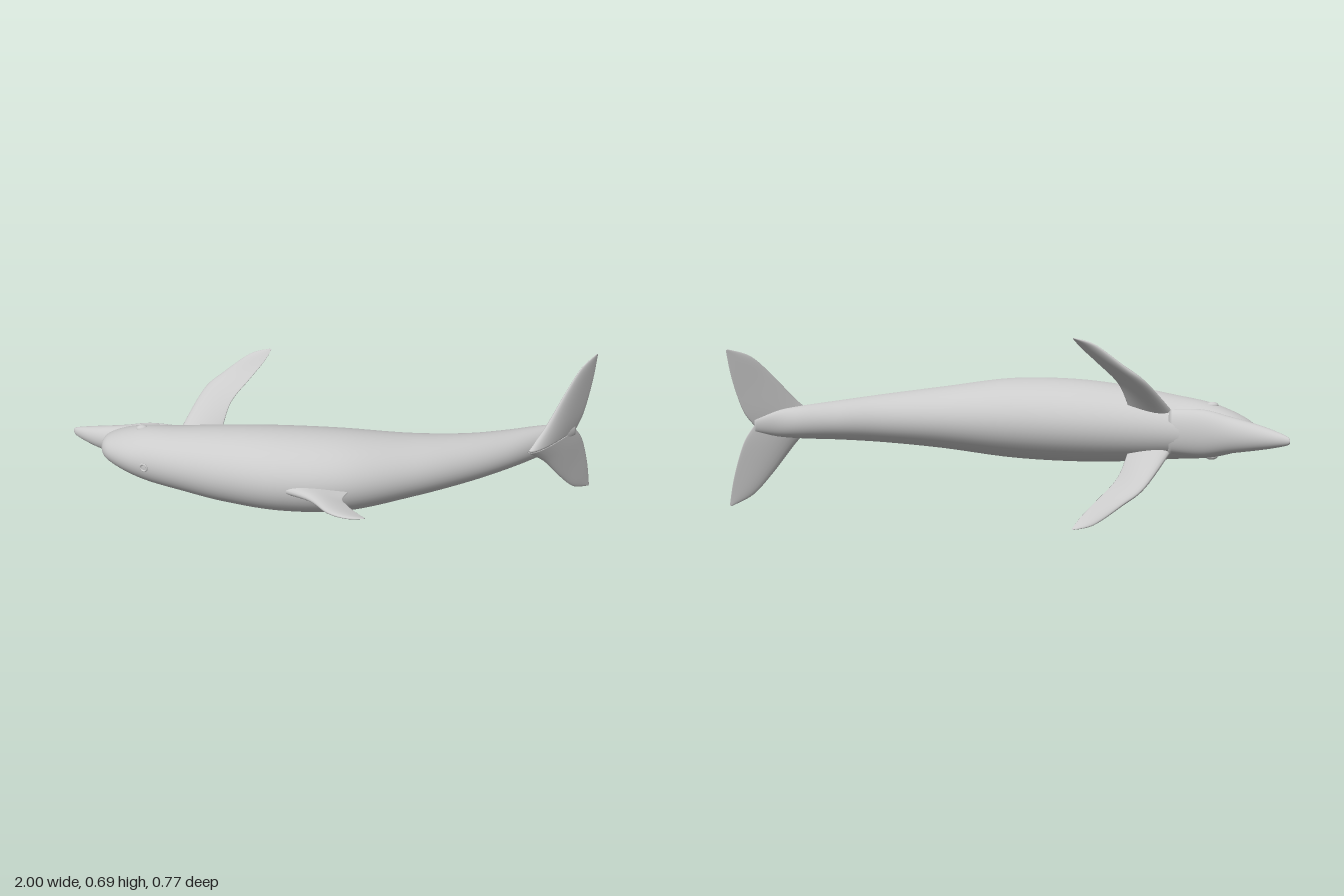
import * as THREE from 'three';

const MID = 0.345; // height of the symmetry plane
const material = new THREE.MeshStandardMaterial({ color: 0xcccccc });

// Catmull-Rom through rows of numbers, t in 0..1
function sample(rows, t) {
  const f = t * (rows.length - 1);
  const i = Math.min(Math.floor(f), rows.length - 2);
  const u = f - i;
  const row = (k) => rows[Math.max(0, Math.min(rows.length - 1, k))];
  const [a, b, c, d] = [row(i - 1), row(i), row(i + 1), row(i + 2)];
  return b.map((_, k) => b[k] + 0.5 * u * (c[k] - a[k] + u * (2 * a[k] - 5 * b[k] + 4 * c[k] - d[k]
    + u * (3 * (b[k] - c[k]) + d[k] - a[k]))));
}

// Skin over closed rings of points, with both ends closed
function loft(name, rings) {
  const n = rings[0].length;
  const pos = [], idx = [];
  rings.forEach((r) => r.forEach((p) => pos.push(p.x, p.y, p.z)));
  for (let j = 0; j < rings.length - 1; j++) {
    for (let i = 0; i < n; i++) {
      const k = (i + 1) % n;
      const a = j * n + i, b = j * n + k, c = b + n, d = a + n;
      idx.push(a, b, d, b, c, d);
    }
  }
  [0, rings.length - 1].forEach((j) => {
    const centre = new THREE.Vector3();
    rings[j].forEach((p) => centre.addScaledVector(p, 1 / n));
    const m = pos.length / 3;
    pos.push(centre.x, centre.y, centre.z);
    for (let i = 0; i < n; i++) {
      const a = j * n + i, b = j * n + (i + 1) % n;
      if (j === 0) idx.push(m, b, a);
      else idx.push(m, a, b);
    }
  });
  const g = new THREE.BufferGeometry();
  g.setAttribute('position', new THREE.Float32BufferAttribute(pos, 3));
  g.setIndex(idx);
  g.computeVertexNormals();
  const mesh = new THREE.Mesh(g, material);
  mesh.name = name;
  return mesh;
}

// Oval hull; stations are [x, back z, belly z, half width]
function hull(name, stations, steps, sides = 48) {
  const rings = [];
  for (let j = 0; j <= steps; j++) {
    const [x, back, belly, half] = sample(stations, j / steps);
    const ring = [];
    for (let i = 0; i < sides; i++) {
      const a = (i / sides) * Math.PI * 2;
      ring.push(new THREE.Vector3(x, MID + half * Math.cos(a),
        (back + belly) / 2 + ((back - belly) / 2) * Math.sin(a)));
    }
    rings.push(ring);
  }
  return loft(name, rings);
}

// Fin between a leading and a trailing edge; points are [x, offset from the symmetry plane, z]
function blade(name, lead, trail, thickness, side = 1, steps = 28, sides = 24) {
  const edge = (rows, t) => {
    const [x, y, z] = sample(rows, t);
    return new THREE.Vector3(x, MID + side * y, z);
  };
  const middle = (t) => edge(lead, t).add(edge(trail, t)).multiplyScalar(0.5);
  const rings = [];
  for (let j = 0; j <= steps; j++) {
    const t = j / steps;
    const l = edge(lead, t), r = edge(trail, t);
    const half = r.clone().sub(l).multiplyScalar(0.5);
    const span = middle(Math.min(1, t + 0.02)).sub(middle(Math.max(0, t - 0.02)));
    const normal = half.clone().cross(span).normalize();
    const thick = sample(thickness, t)[0];
    const ring = [];
    for (let i = 0; i < sides; i++) {
      const a = (i / sides) * Math.PI * 2;
      // rounded in front, thinning to the rear
      const h = thick * Math.sin(a) * (0.62 + 0.38 * Math.cos(a));
      ring.push(middle(t).addScaledVector(half, -Math.cos(a)).addScaledVector(normal, h));
    }
    rings.push(ring);
  }
  return loft(name, rings);
}

function ball(name, x, y, z, sx, sy, sz) {
  const mesh = new THREE.Mesh(new THREE.SphereGeometry(1, 20, 14), material);
  mesh.name = name;
  mesh.position.set(x, y, z);
  mesh.scale.set(sx, sy, sz);
  return mesh;
}

export function createModel() {
  const model = new THREE.Group();
  model.name = 'dolphin';

  // Body, from the rounded forehead to the tail stock
  model.add(hull('body', [
    [-0.892, -0.228, -0.24, 0.004],
    [-0.885, -0.2, -0.27, 0.028],
    [-0.86, -0.163, -0.305, 0.05],
    [-0.8, -0.105, -0.318, 0.077],
    [-0.72, -0.053, -0.3, 0.1],
    [-0.6, 0.013, -0.266, 0.116],
    [-0.44, 0.093, -0.235, 0.137],
    [-0.235, 0.167, -0.2, 0.151],
    [0, 0.193, -0.162, 0.146],
    [0.25, 0.14, -0.13, 0.114],
    [0.46, 0.07, -0.128, 0.09],
    [0.62, 0, -0.157, 0.073],
    [0.75, -0.078, -0.186, 0.061],
    [0.84, -0.142, -0.2, 0.048],
    [0.915, -0.205, -0.226, 0.024],
  ], 112));

  // Beak, sunk into the head so that a crease shows below the forehead
  model.add(hull('beak', [
    [-1, -0.38, -0.387, 0.004],
    [-0.992, -0.363, -0.388, 0.015],
    [-0.95, -0.32, -0.376, 0.03],
    [-0.89, -0.275, -0.355, 0.046],
    [-0.8, -0.23, -0.325, 0.065],
    [-0.7, -0.2, -0.296, 0.085],
    [-0.58, -0.18, -0.258, 0.08],
  ], 40));

  // Fin on the back
  model.add(blade('dorsalFin',
    [[-0.3, 0, 0.12], [-0.155, 0, 0.222], [-0.088, 0, 0.33], [-0.025, 0, 0.377], [0.038, 0, 0.386]],
    [[0.05, 0, 0.13], [-0.02, 0, 0.23], [-0.01, 0, 0.285], [0.015, 0, 0.337], [0.044, 0, 0.38]],
    [[0.038], [0.022], [0.014], [0.008], [0.002]]));

  // Paired parts
  const flukeZ = (x) => -0.1 - 0.8 * (x - 0.77);
  const onFluke = ([x, y]) => [x, y, flukeZ(x)];
  [['left', -1], ['right', 1]].forEach(([label, side]) => {
    model.add(blade(label + 'Flipper',
      [[-0.6, 0.06, -0.215], [-0.5, 0.187, -0.312], [-0.42, 0.25, -0.33], [-0.32, 0.323, -0.326], [-0.245, 0.345, -0.316]],
      [[-0.44, 0.07, -0.185], [-0.4, 0.17, -0.228], [-0.325, 0.25, -0.26], [-0.27, 0.305, -0.287], [-0.24, 0.343, -0.312]],
      [[0.026], [0.019], [0.014], [0.009], [0.002]], side));

    model.add(blade(label + 'Fluke',
      [[0.7, 0], [0.775, 0.07], [0.858, 0.18], [0.925, 0.255], [0.995, 0.287]].map(onFluke),
      [[0.918, 0], [0.948, 0.05], [0.97, 0.12], [0.988, 0.2], [1, 0.283]].map(onFluke),
      [[0.03], [0.022], [0.013], [0.008], [0.002]], side));

    model.add(ball(label + 'Eye', -0.735, MID + side * 0.092, -0.2, 0.022, 0.013, 0.015));
  });

  // Blowhole rim
  const blowhole = new THREE.Mesh(new THREE.TorusGeometry(0.014, 0.004, 10, 24), material);
  blowhole.name = 'blowhole';
  blowhole.position.set(-0.735, MID, -0.061);
  blowhole.rotation.y = -0.55;
  model.add(blowhole);

  return model;
}
